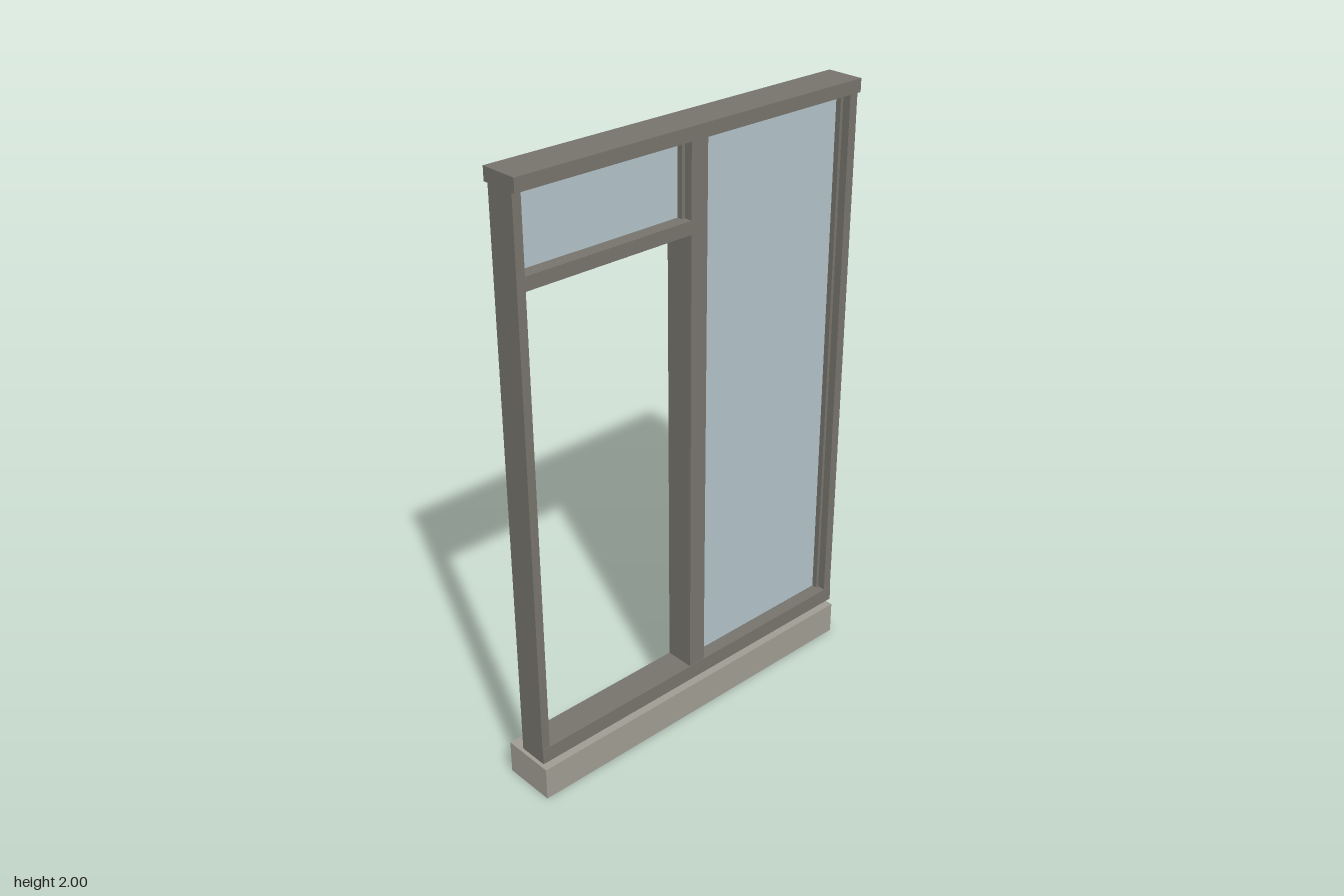
import * as THREE from 'three';

const frameMat = new THREE.MeshStandardMaterial({ name: 'frame grey', color: 0x76746c });
const sillMat = new THREE.MeshStandardMaterial({ name: 'sill stone', color: 0xa09d93 });
const glassMat = new THREE.MeshStandardMaterial({ name: 'pale glass', color: 0xb2c2c8 });

export function createModel() {
  const model = new THREE.Group();
  model.name = 'doorFrame';

  // Box given by its lower and upper limits on each axis
  function box(name, material, [x0, x1], [y0, y1], [z0, z1]) {
    const mesh = new THREE.Mesh(new THREE.BoxGeometry(x1 - x0, y1 - y0, z1 - z0), material);
    mesh.position.set((x0 + x1) / 2, (y0 + y1) / 2, (z0 + z1) / 2);
    mesh.name = name;
    model.add(mesh);
  }

  const width = [-0.645, 0.645];
  const depth = [-0.022, 0.077];
  const opening = [0.183, 1.958];

  // Base, threshold and head
  box('baseSill', sillMat, width, [0, 0.112], [-0.089, 0.089]);
  box('threshold', frameMat, width, [0.13, 0.183], [-0.022, 0.079]);
  box('headRail', frameMat, width, [1.958, 2], [-0.038, 0.089]);

  // Uprights
  box('rightJamb', frameMat, [-0.645, -0.617], opening, depth);
  box('leftJamb', frameMat, [0.614, 0.645], opening, depth);
  box('mullion', frameMat, [-0.032, 0.03], opening, depth);

  // Transom above the door opening
  box('transom', frameMat, [-0.617, -0.032], [1.683, 1.725], depth);

  // Glazed panels with slim stops along both sides
  function glazing(name, [x0, x1], [y0, y1]) {
    const stop = 0.011;
    box(name + 'Glass', glassMat, [x0 + stop, x1 - stop], [y0, y1], [0.023, 0.032]);
    box(name + 'StopRight', frameMat, [x0, x0 + stop], [y0, y1], [0.005, 0.05]);
    box(name + 'StopLeft', frameMat, [x1 - stop, x1], [y0, y1], [0.005, 0.05]);
  }
  glazing('transomLight', [-0.617, -0.032], [1.725, 1.958]);
  glazing('sidelight', [0.03, 0.614], opening);

  return model;
}
